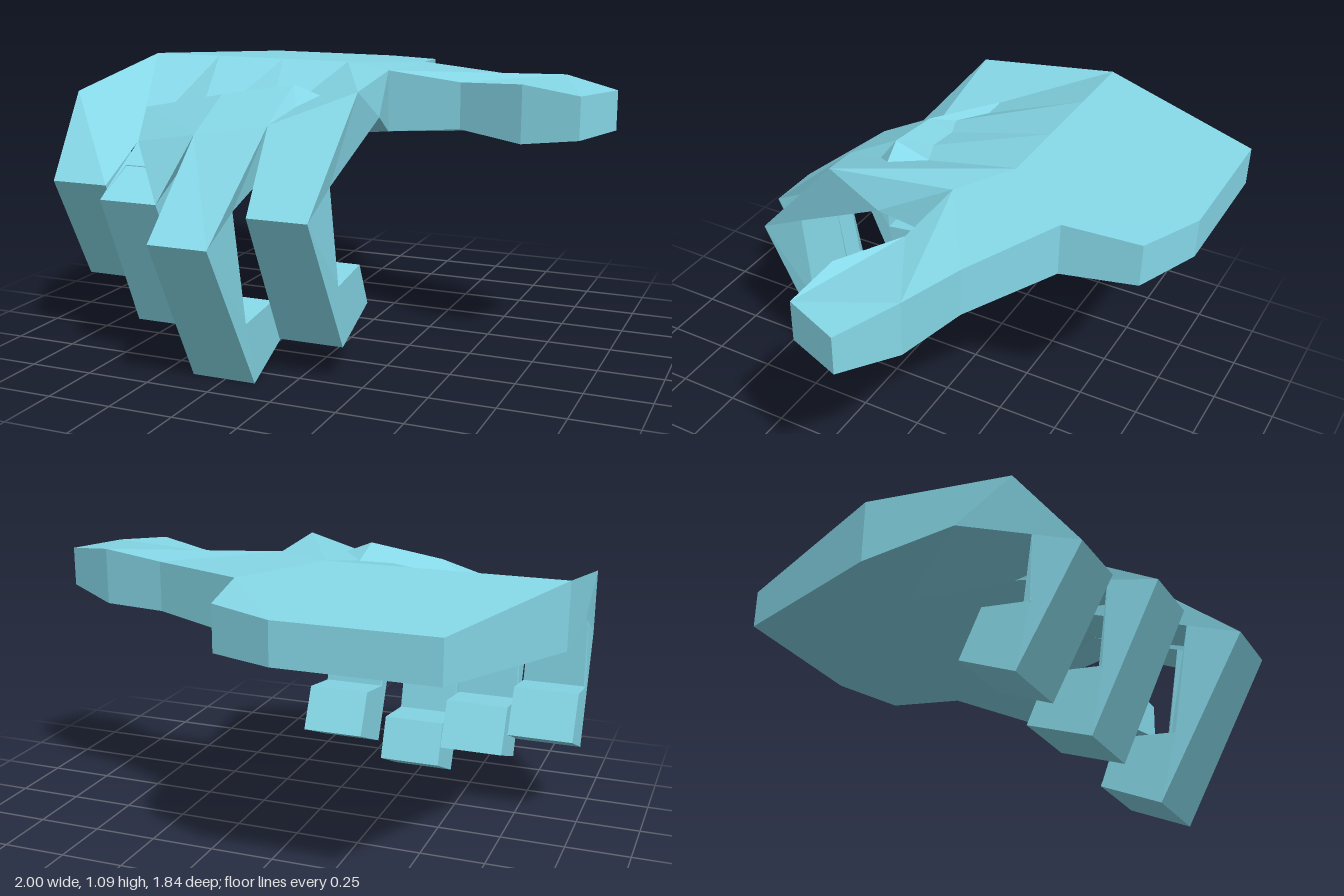
import * as THREE from 'three';

const material = new THREE.MeshStandardMaterial({ color: 0x86d8e8, flatShading: true, side: THREE.DoubleSide });

// Mesh from a flat list of corner points, three per triangle
function facets(name, points) {
  const geometry = new THREE.BufferGeometry();
  geometry.setAttribute('position', new THREE.Float32BufferAttribute(points.flat(), 3));
  geometry.computeVertexNormals();
  const mesh = new THREE.Mesh(geometry, material);
  mesh.name = name;
  return mesh;
}

const quad = (a, b, c, d) => [a, b, c, a, c, d];

// Horizontal slab from an outline of [x, z, bottom y, top y]
function slab(name, outline) {
  const top = outline.map(([x, z, , t]) => [x, t, z]);
  const bottom = outline.map(([x, z, b]) => [x, b, z]);
  const flat = outline.map(([x, z]) => new THREE.Vector2(x, -z));
  const points = [];
  for (const [a, b, c] of THREE.ShapeUtils.triangulateShape(flat, [])) {
    points.push(top[a], top[b], top[c], bottom[a], bottom[c], bottom[b]);
  }
  outline.forEach((_, i) => {
    const j = (i + 1) % outline.length;
    points.push(...quad(bottom[i], bottom[j], top[j], top[i]));
  });
  return facets(name, points);
}

// Skin between four-cornered sections: outer left, outer right, inner right, inner left
function loft(name, sections) {
  const points = [];
  for (let i = 0; i < sections.length - 1; i++) {
    const a = sections[i], b = sections[i + 1];
    for (let j = 0; j < 4; j++) {
      const k = (j + 1) % 4;
      points.push(...quad(a[j], b[j], b[k], a[k]));
    }
  }
  const [oL, oR, iR, iL] = sections[sections.length - 1];
  points.push(...quad(oL, iL, iR, oR));
  return facets(name, points);
}

export function createModel() {
  const hand = new THREE.Group();
  hand.name = 'hand';

  // Flat back half of the hand, from the wrist to the middle of the palm
  hand.add(slab('palm', [
    [-1, -0.23, 0.84, 1.09], [-0.7, -0.23, 0.84, 1.09], [-0.4, -0.23, 0.84, 1.09],
    [-0.11, -0.23, 0.84, 1.09], [0.12, -0.09, 0.84, 1.08], [0.12, -0.52, 0.86, 1.07],
    [0.07, -0.81, 0.88, 1.05], [-0.18, -0.92, 0.89, 1.045], [-0.75, -0.92, 0.89, 1.045],
  ]));

  hand.add(slab('thumb', [
    [0.12, -0.09, 0.84, 1.08], [0.42, -0.07, 0.87, 1.05], [0.69, 0.05, 0.85, 1.07],
    [0.91, 0.07, 0.88, 1.04], [1, -0.15, 0.89, 1.04], [0.78, -0.27, 0.86, 1.075],
    [0.51, -0.34, 0.87, 1.06], [0.12, -0.52, 0.86, 1.07],
  ]));

  // Column borders across the hand: palm edge, then the knuckle row, each [x, y, z]
  const edgeTop = [[-1, 1.09, -0.23], [-0.7, 1.09, -0.23], [-0.4, 1.09, -0.23], [-0.11, 1.09, -0.23], [0.12, 1.08, -0.09]];
  const edgeBottom = edgeTop.map(([x, , z]) => [x, 0.84, z]);
  const knuckleTop = [[-1, 1, 0.37], [-0.7, 0.83, 0.43], [-0.4, 0.89, 0.53], [-0.11, 0.94, 0.51], [0.19, 1.06, 0.4]];
  const knuckleBottom = [[-1, 0.87, 0.15], [-0.7, 0.8, 0.22], [-0.4, 0.82, 0.26], [-0.11, 0.86, 0.24], [0.19, 0.94, 0.19]];

  // Side profile of each finger: outer [z, y] and inner [z, y] at knee, bend and tip
  const fingers = [
    { name: 'littleFinger', x: -0.85, outer: [[0.61, 0.69], [0.38, 0.27], [0.17, 0.36]], inner: [[0.43, 0.8], [0.43, 0.51], [0.25, 0.535]] },
    { name: 'ringFinger', x: -0.555, outer: [[0.745, 0.67], [0.5, 0.145], [0.26, 0.235]], inner: [[0.565, 0.765], [0.54, 0.39], [0.34, 0.415]] },
    { name: 'middleFinger', x: -0.257, outer: [[0.92, 0.575], [0.61, 0], [0.39, 0.1]], inner: [[0.73, 0.67], [0.67, 0.245], [0.45, 0.27]] },
    { name: 'indexFinger', x: 0.042, outer: [[0.765, 0.66], [0.49, 0.14], [0.25, 0.24]], inner: [[0.575, 0.75], [0.53, 0.38], [0.33, 0.41]] },
  ];
  const halfWidths = [0.115, 0.127, 0.127];

  fingers.forEach(({ name, x, outer, inner }, i) => {
    const sections = [
      [edgeTop[i], edgeTop[i + 1], edgeBottom[i + 1], edgeBottom[i]],
      [knuckleTop[i], knuckleTop[i + 1], knuckleBottom[i + 1], knuckleBottom[i]],
    ];
    halfWidths.forEach((w, s) => {
      const [oz, oy] = outer[s], [iz, iy] = inner[s];
      sections.push([[x - w, oy, oz], [x + w, oy, oz], [x + w, iy, iz], [x - w, iy, iz]]);
    });
    hand.add(loft(name, sections));
  });

  // Raised ridge over the middle knuckles, sinking into the back of the hand
  const rows = [
    [[-0.76, 0.86, 0.1], [-0.4, 0.94, 0.1], [-0.11, 1, 0.1], [0, 0.98, 0.1]],
    [[-0.8, 0.925, 0.2], [-0.4, 1.01, 0.31], [-0.11, 1.06, 0.29], [-0.01, 1.02, 0.27]],
    [[-0.7, 0.83, 0.43], [-0.4, 0.89, 0.53], [-0.11, 0.94, 0.51], [-0.04, 0.9, 0.4]],
  ];
  const ridge = [];
  for (let r = 0; r < 2; r++) {
    for (let j = 0; j < 3; j++) {
      ridge.push(...quad(rows[r][j], rows[r + 1][j], rows[r + 1][j + 1], rows[r][j + 1]));
    }
  }
  hand.add(facets('knuckleRidge', ridge));

  return hand;
}
